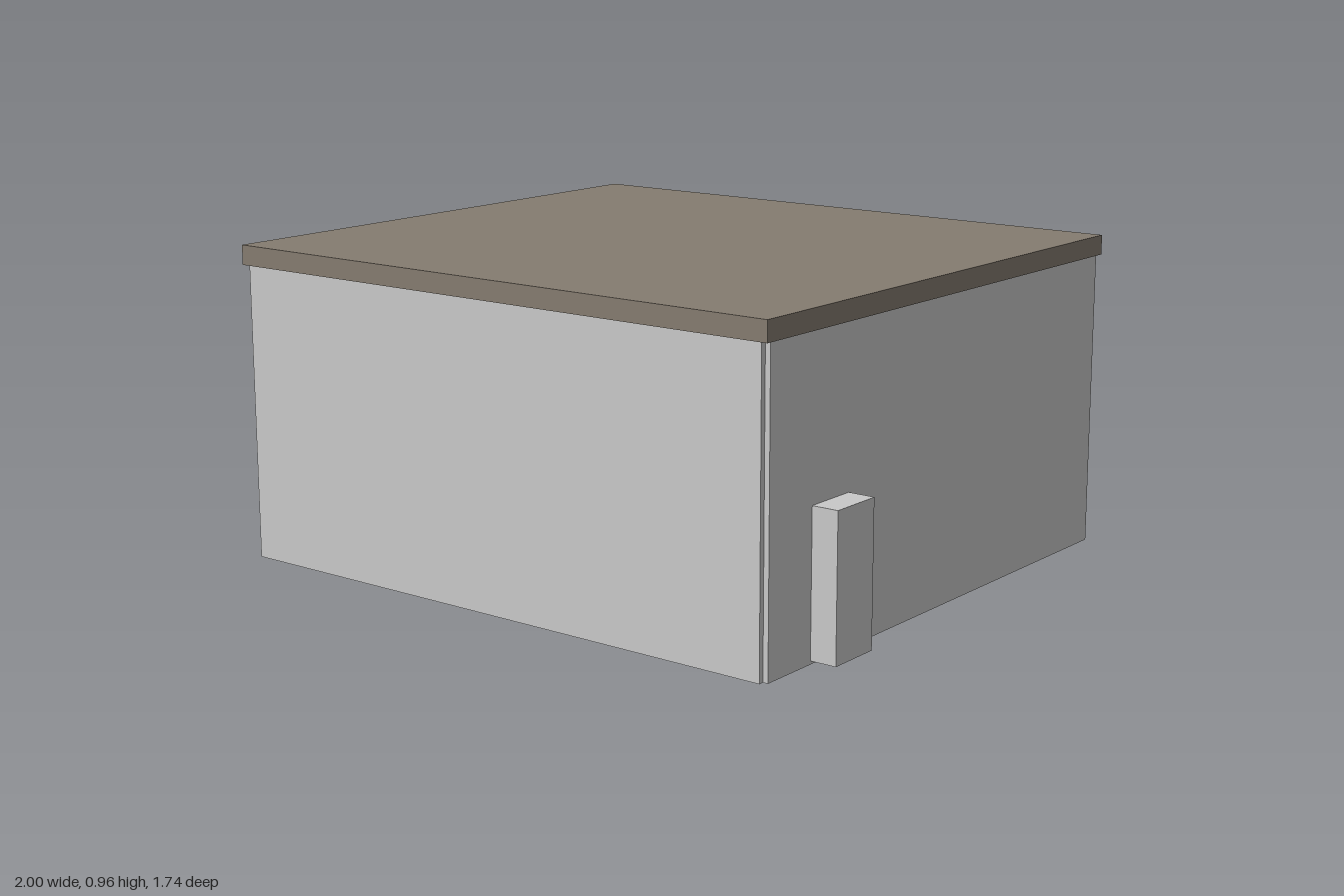
import * as THREE from 'three';

const wallPaint = new THREE.MeshStandardMaterial({ name: 'wallGrey', color: 0xc9c9c9 });
const roofPaint = new THREE.MeshStandardMaterial({ name: 'roofTaupe', color: 0x857c70 });
const floorPaint = new THREE.MeshStandardMaterial({ name: 'floorBrown', color: 0x784e28 });

// Box given by its lower and upper corners
function block(name, material, [x0, y0, z0], [x1, y1, z1]) {
  const mesh = new THREE.Mesh(new THREE.BoxGeometry(x1 - x0, y1 - y0, z1 - z0), material);
  mesh.name = name;
  mesh.position.set((x0 + x1) / 2, (y0 + y1) / 2, (z0 + z1) / 2);
  return mesh;
}

export function createModel() {
  const model = new THREE.Group();
  model.name = 'flatRoofBuilding';

  // Inner footprint, wall thickness and wall height
  const left = 0.903, right = -0.977, depth = 0.846, t = 0.016, top = 0.9;

  // Floor slab between the walls
  model.add(block('floor', floorPaint, [right, 0, -depth], [left, 0.02, depth]));

  // Four wall panels that meet in small open notches at the corners
  model.add(
    block('frontWall', wallPaint, [right, 0, depth], [left, top, depth + t]),
    block('backWall', wallPaint, [right, 0, -depth - t], [left, top, -depth]),
    block('leftWall', wallPaint, [left, 0, -depth], [left + t, top, depth]),
    block('rightWall', wallPaint, [right - t, 0, -depth], [right, top, depth]),
  );

  // Overhanging flat roof
  model.add(block('roof', roofPaint, [-1, top, -0.868], [0.925, 0.96, 0.868]));

  // Service cabinet on the left wall
  model.add(block('cabinet', wallPaint, [left + t, 0.01, 0.485], [1, 0.435, 0.655]));

  return model;
}
